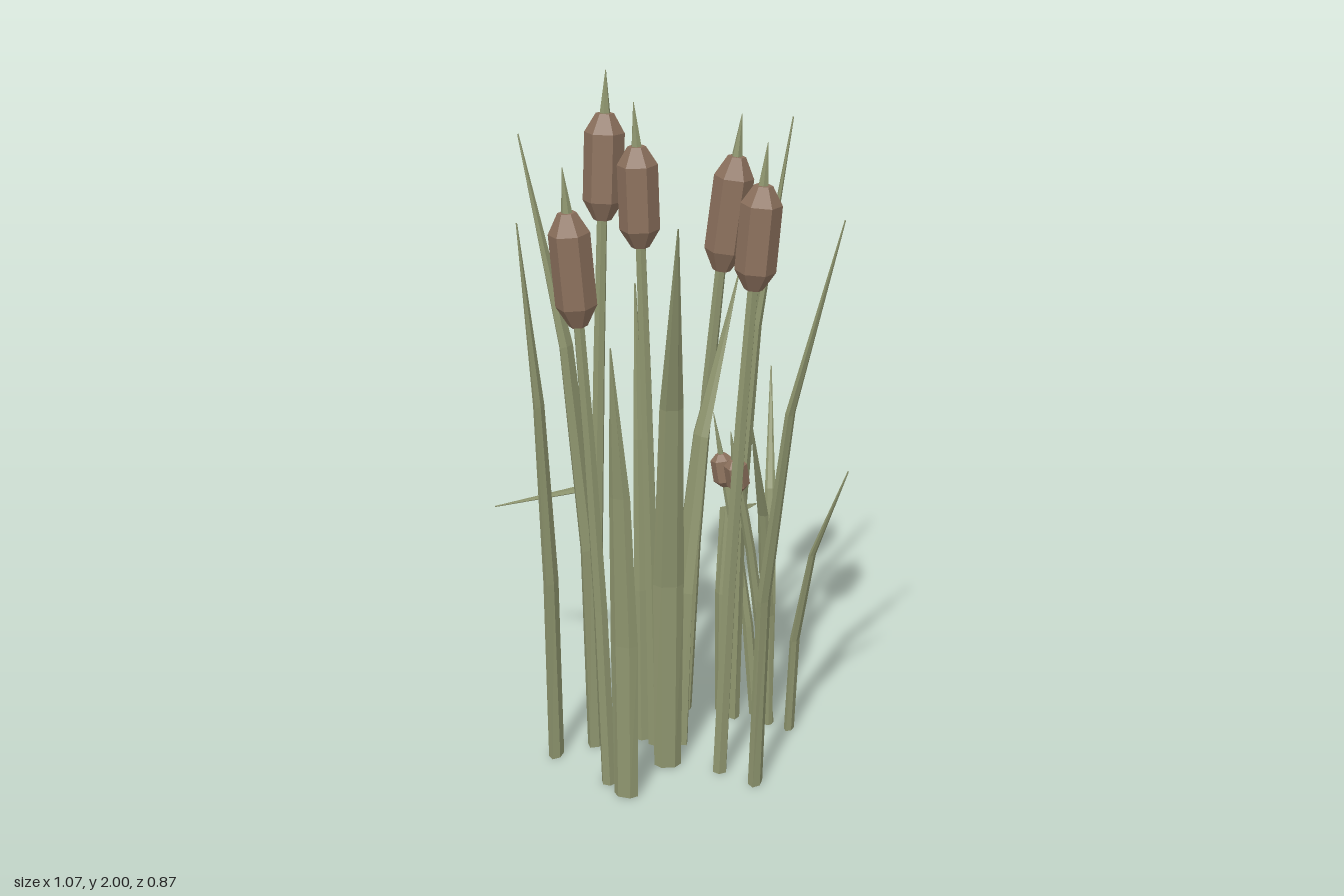
import * as THREE from 'three';

const leafGreen = new THREE.MeshStandardMaterial({ color: 0x8f966f });
leafGreen.name = 'leafGreen';
const seedBrown = new THREE.MeshStandardMaterial({ color: 0x8c715d });
seedBrown.name = 'seedBrown';

const V = (a) => new THREE.Vector3(...a);

// Faceted six-sided loft along a path; widths and depths are half sizes per ring
function loft(path, widths, depths) {
  const pts = path.map(V), n = 6, last = pts.length - 1;
  const lean = pts[last].clone().sub(pts[0]).setY(0);
  const side = lean.lengthSq() > 1e-6
    ? new THREE.Vector3(0, 1, 0).cross(lean).normalize() : new THREE.Vector3(1, 0, 0);
  const pos = [], index = [];
  pts.forEach((p, i) => {
    const inDir = p.clone().sub(pts[Math.max(i - 1, 0)]).normalize();
    const outDir = pts[Math.min(i + 1, last)].clone().sub(p).normalize();
    const normal = inDir.add(outDir).normalize().cross(side);
    if (i === 0) normal.setY(0).normalize(); // flat cut on the ground
    for (let j = 0; j < n; j++) {
      const a = (j / n) * Math.PI * 2;
      const v = p.clone().addScaledVector(side, Math.cos(a) * widths[i])
        .addScaledVector(normal, Math.sin(a) * depths[i]);
      pos.push(v.x, v.y, v.z);
    }
  });
  for (let i = 0; i < last; i++) {
    for (let j = 0; j < n; j++) {
      const a = i * n + j, b = i * n + (j + 1) % n;
      index.push(a, b, b + n, a, b + n, a + n);
    }
  }
  for (let j = 1; j < n - 1; j++) index.push(0, j + 1, j);
  return facet(new THREE.BufferGeometry()
    .setAttribute('position', new THREE.Float32BufferAttribute(pos, 3)).setIndex(index));
}

function facet(geometry) {
  const g = geometry.toNonIndexed();
  g.computeVertexNormals();
  return g;
}

function mesh(name, geometry, material) {
  const m = new THREE.Mesh(geometry, material);
  m.name = name;
  return m;
}

// Leaf that curves outward from its base to a pointed tip
function blade(base, tip, width) {
  const b = V([base[0], 0, base[1]]), t = V(tip);
  const path = [[0, 0], [0.35, 0.07], [0.68, 0.37], [1, 1]].map(([up, out]) =>
    [b.x + (t.x - b.x) * out, t.y * up, b.z + (t.z - b.z) * out]);
  const h = width / 2;
  return mesh('leaf', loft(path, [h * 0.9, h, h * 0.75, 0.002],
    [h * 0.55, h * 0.5, h * 0.35, 0.002]), leafGreen);
}

// Leaf snapped over near its top
function bentBlade(path, width) {
  const h = width / 2;
  return mesh('bentLeaf', loft(path, [h * 0.8, h * 0.95, h, 0.002],
    [h * 0.45, h * 0.45, h * 0.3, 0.002]), leafGreen);
}

// Stem, seed head and spike
function cattail(base, bottom, top, tip, headRadius, stemRadius) {
  const g = new THREE.Group();
  g.name = 'cattail';
  const at = (up, out) => [base[0] + (bottom[0] - base[0]) * out, bottom[1] * up,
    base[1] + (bottom[2] - base[1]) * out];
  const r = stemRadius;
  const stemR = [r, r * 0.92, r * 0.8, r * 0.7];
  g.add(mesh('stem', loft([at(0, 0), at(0.4, 0.27), at(0.75, 0.64), at(1.02, 1)], stemR, stemR), leafGreen));

  const axis = V(top).sub(V(bottom)), len = axis.length(), R = headRadius;
  const profile = [[0, 0], [R * 0.45, 0], [R, len * 0.18], [R, len * 0.82], [R * 0.45, len], [0, len]]
    .map(([x, y]) => new THREE.Vector2(x, y));
  const head = mesh('seedHead', facet(new THREE.LatheGeometry(profile, 6, Math.PI / 6)), seedBrown);
  head.position.copy(V(bottom));
  head.quaternion.setFromUnitVectors(new THREE.Vector3(0, 1, 0), axis.normalize());
  g.add(head);

  const s = R * 0.27;
  g.add(mesh('spike', loft([top, tip], [s, 0.001], [s, 0.001]), leafGreen));
  return g;
}

export function createModel() {
  const model = new THREE.Group();
  model.name = 'cattailClump';

  // Tall cattails, then two young ones
  [
    [[-0.21, -0.085], [-0.177, 1.58, -0.135], [-0.168, 1.88, -0.152], [-0.165, 2.0, -0.156], 0.057, 0.022],
    [[-0.02, 0.035], [-0.058, 1.55, 0.037], [-0.067, 1.83, 0.037], [-0.075, 1.95, 0.038], 0.056, 0.022],
    [[-0.14, 0.27], [-0.207, 1.4, 0.285], [-0.232, 1.71, 0.29], [-0.242, 1.83, 0.294], 0.056, 0.022],
    [[0.06, -0.185], [0.16, 1.43, -0.162], [0.2, 1.76, -0.165], [0.213, 1.88, -0.168], 0.057, 0.022],
    [[0.18, 0.187], [0.255, 1.48, 0.19], [0.277, 1.765, 0.19], [0.287, 1.88, 0.19], 0.056, 0.022],
    [[0.28, -0.16], [0.18, 0.75, -0.195], [0.163, 0.85, -0.203], [0.14, 0.98, -0.205], 0.034, 0.018],
    [[0.32, -0.11], [0.222, 0.8, -0.045], [0.207, 0.9, -0.033], [0.195, 0.99, -0.025], 0.034, 0.018],
  ].forEach((c) => model.add(cattail(...c)));

  // Leaves: base x and z, tip, width
  [
    [[-0.195, 0.045], [-0.4, 1.84, -0.055], 0.085],
    [[-0.31, 0.12], [-0.39, 1.63, 0.1], 0.075],
    [[-0.18, -0.01], [-0.255, 1.33, -0.055], 0.055],
    [[-0.085, 0.335], [-0.11, 1.39, 0.435], 0.08],
    [[0.025, 0.16], [0.065, 1.71, 0.435], 0.088],
    [[-0.055, 0.01], [-0.08, 1.42, -0.055], 0.055],
    [[0.05, 0.02], [0.21, 1.43, -0.13], 0.085],
    [[0.21, -0.15], [0.355, 1.87, -0.185], 0.075],
    [[0.285, 0.245], [0.49, 1.7, 0.287], 0.075],
    [[0.385, -0.075], [0.535, 0.88, -0.01], 0.05],
    [[0.315, -0.17], [0.308, 1.05, -0.435], 0.042],
    [[0.315, -0.1], [0.255, 1.09, 0.16], 0.042],
  ].forEach((l) => model.add(blade(...l)));

  model.add(bentBlade([[-0.185, 0, -0.145], [-0.215, 0.45, -0.17], [-0.25, 0.73, -0.2], [-0.535, 0.615, -0.312]], 0.08));
  model.add(bentBlade([[0.185, 0, -0.17], [0.187, 0.4, -0.18], [0.2, 0.67, -0.205], [0.27, 0.6, -0.415]], 0.08));
  return model;
}
